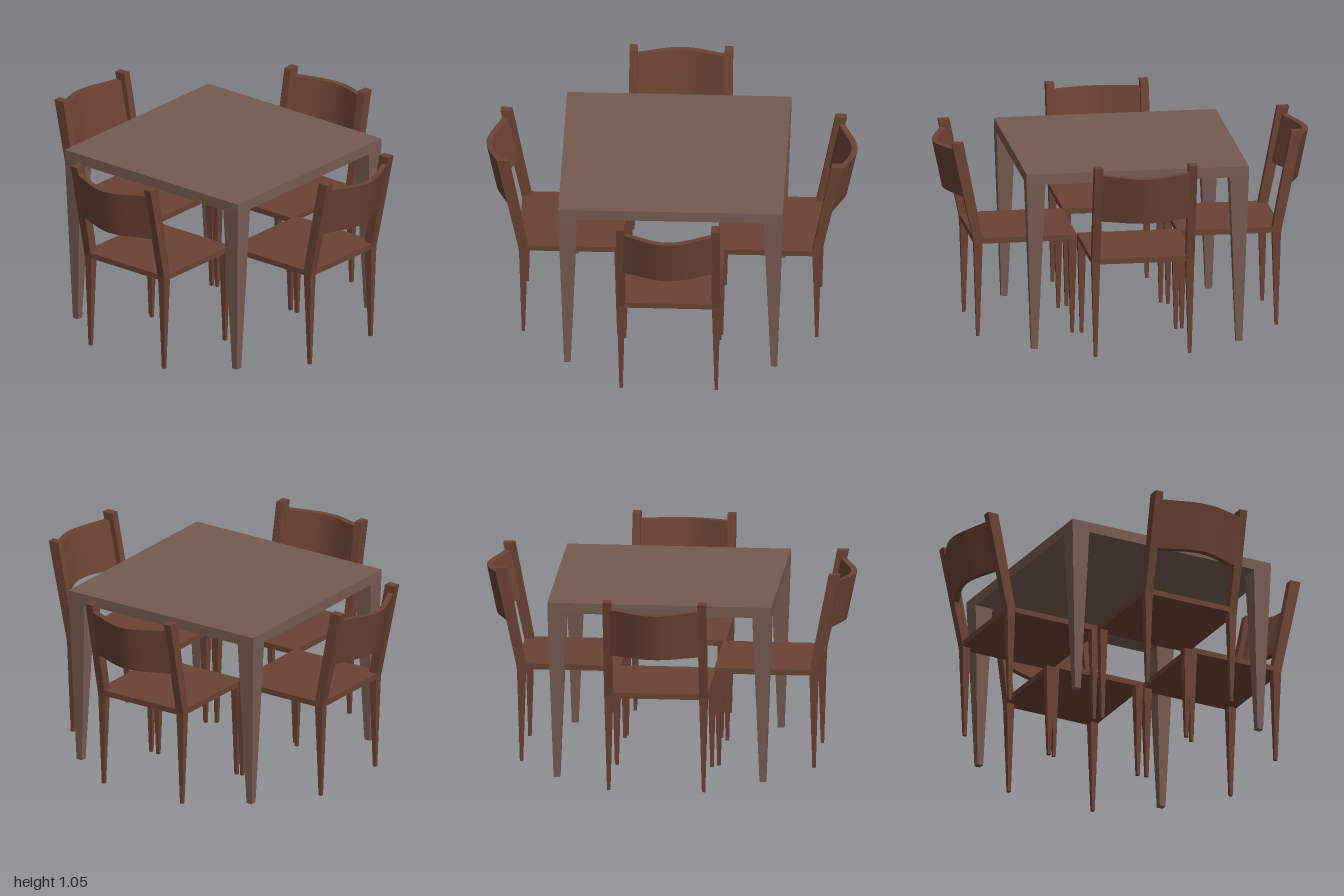
import * as THREE from 'three';

const tableWood = new THREE.MeshStandardMaterial({ color: 0x765b50 });
const chairWood = new THREE.MeshStandardMaterial({ color: 0x6b4233 });

function add(parent, name, geometry, material, x = 0, y = 0, z = 0) {
  const mesh = new THREE.Mesh(geometry, material);
  mesh.name = name;
  mesh.position.set(x, y, z);
  parent.add(mesh);
  return mesh;
}

// Four-sided bar between two horizontal sections, each { x, y, z, w, d }
function bar(bottom, top) {
  const g = new THREE.BoxGeometry(1, 1, 1);
  const p = g.attributes.position;
  for (let i = 0; i < p.count; i++) {
    const s = p.getY(i) < 0 ? bottom : top;
    p.setXYZ(i, s.x + p.getX(i) * s.w, s.y, s.z + p.getZ(i) * s.d);
  }
  g.computeVertexNormals();
  return g;
}

// Leaning panel that bows backwards between the posts
function backrestGeometry() {
  const half = 0.24;
  const g = new THREE.BoxGeometry(2, 1, 1, 28, 1, 1);
  const p = g.attributes.position;
  for (let i = 0; i < p.count; i++) {
    const u = p.getX(i);
    const isTop = p.getY(i) > 0;
    const bow = 0.5 * (1 - u * u) + 0.25 * (1 + Math.cos(Math.PI * u));
    const y = isTop ? 1.013 - 0.01 * bow : 0.752;
    const outer = 0.92 - 0.21 * (1.01 - y) + 0.078 * bow;
    p.setXYZ(i, u * half, y, p.getZ(i) > 0 ? outer : outer - 0.032);
  }
  g.computeVertexNormals();
  return g;
}

// Chair with its back towards +z, facing the table
function createChair(name) {
  const chair = new THREE.Group();
  chair.name = name;
  add(chair, 'seat', new THREE.BoxGeometry(0.544, 0.03, 0.548), chairWood, 0, 0.52, 0.542);
  for (const side of [-1, 1]) {
    const x = side * 0.25;
    for (const [legName, z] of [['frontLeg', 0.291], ['rearLeg', 0.792]]) {
      add(chair, legName, bar(
        { x, y: 0, z, w: 0.017, d: 0.017 },
        { x, y: 0.52, z, w: 0.044, d: 0.046 }), chairWood);
    }
    add(chair, 'backPost', bar(
      { x, y: 0.515, z: 0.791, w: 0.044, d: 0.05 },
      { x, y: 1.053, z: 0.901, w: 0.044, d: 0.061 }), chairWood);
  }
  add(chair, 'backrest', backrestGeometry(), chairWood);
  return chair;
}

function createTable() {
  const table = new THREE.Group();
  table.name = 'table';
  add(table, 'tableTop', new THREE.BoxGeometry(1.18, 0.057, 1.18), tableWood, 0, 0.928, 0);
  for (const sx of [-1, 1]) {
    for (const sz of [-1, 1]) {
      const x = sx * 0.543, z = sz * 0.543;
      add(table, 'tableLeg', bar(
        { x, y: 0, z, w: 0.034, d: 0.034 },
        { x: sx * 0.54, y: 0.905, z: sz * 0.54, w: 0.1, d: 0.1 }), tableWood);
    }
  }
  table.position.set(0.013, 0, -0.007);
  return table;
}

export function createModel() {
  const model = new THREE.Group();
  model.name = 'diningSet';
  model.add(createTable());

  // One chair on each side of the table: name, turn, x, z
  const places = [
    ['frontChair', 0, 0.012, 0],
    ['leftChair', Math.PI / 2, -0.023, -0.008],
    ['rearChair', Math.PI, 0.012, 0],
    ['rightChair', -Math.PI / 2, 0.019, -0.008],
  ];
  for (const [name, turn, x, z] of places) {
    const chair = createChair(name);
    chair.rotation.y = turn;
    chair.position.set(x, 0, z);
    model.add(chair);
  }
  return model;
}
